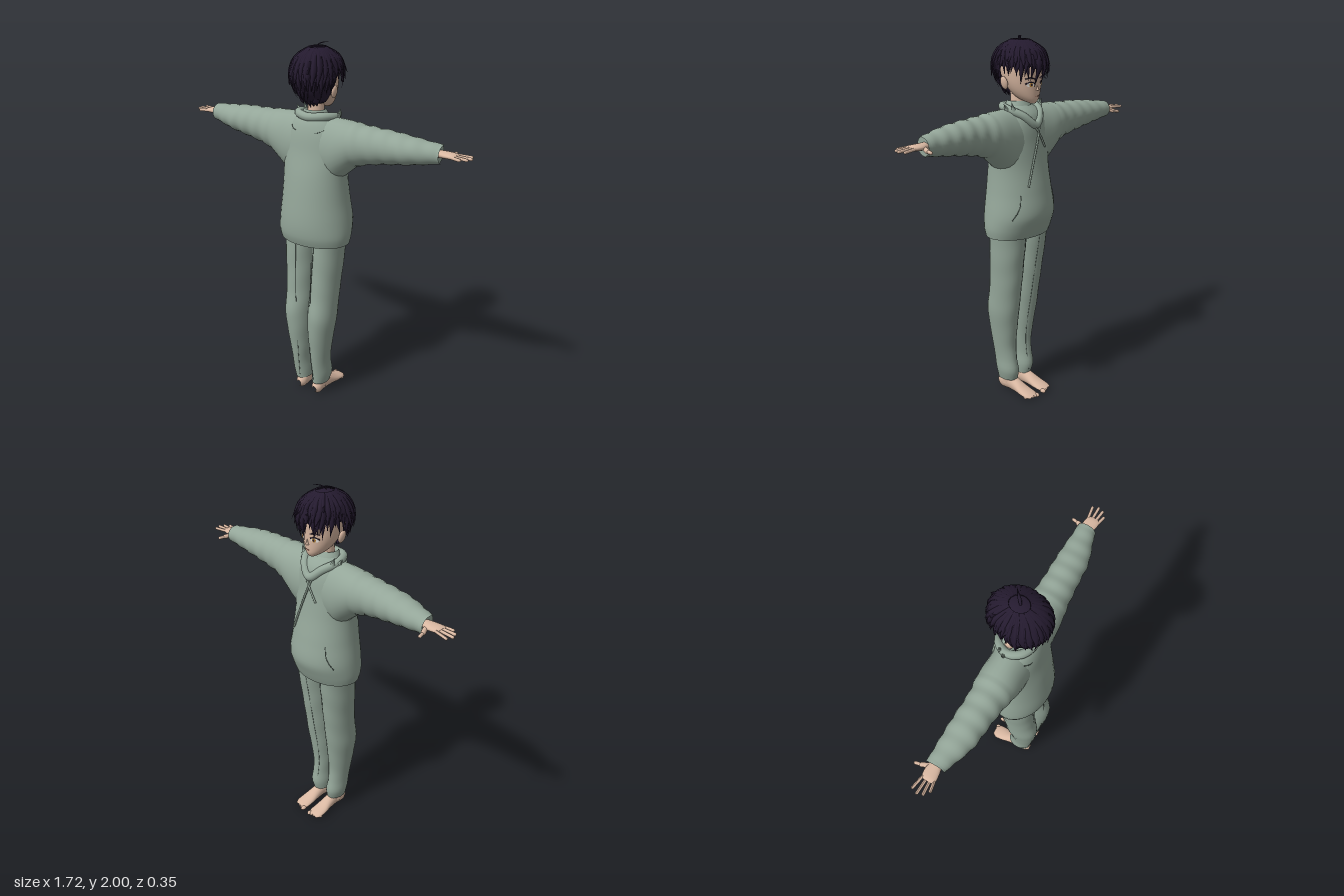
import * as THREE from 'three';

const mat = (name, color, side = THREE.FrontSide) => {
  const m = new THREE.MeshStandardMaterial({ color, side });
  m.name = name;
  return m;
};
const V = (x, y, z) => new THREE.Vector3(x, y, z);

// Smooth interpolation of a list of rings [t, cA, cB, rA, rB]
function ringAt(rings, t) {
  let i = 0;
  while (i < rings.length - 2 && t > rings[i + 1][0]) i++;
  const g = k => rings[Math.min(Math.max(k, 0), rings.length - 1)];
  const [p, a, b, n] = [g(i - 1), g(i), g(i + 1), g(i + 2)];
  const h = b[0] - a[0], u = Math.min(Math.max((t - a[0]) / h, 0), 1);
  return a.map((_, k) => {
    if (k === 0) return t;
    const ma = (b[k] - p[k]) / (b[0] - p[0]) * h, mb = (n[k] - a[k]) / (n[0] - a[0]) * h;
    const u2 = u * u, u3 = u2 * u;
    return (2 * u3 - 3 * u2 + 1) * a[k] + (u3 - 2 * u2 + u) * ma + (3 * u2 - 2 * u3) * b[k] + (u3 - u2) * mb;
  });
}

function build(pos, idx) {
  const g = new THREE.BufferGeometry();
  g.setAttribute('position', new THREE.Float32BufferAttribute(pos, 3));
  g.setIndex(idx);
  g.computeVertexNormals();
  return g;
}

// Elliptical cross-sections lofted along one axis, with capped ends
const place = {
  x: (t, A, B) => [t, B, A],
  y: (t, A, B) => [A, t, B],
  z: (t, A, B) => [B, A, t],
};
function loft(rings, axis, steps = 24, sides = 28, wrinkle = () => 1) {
  const pos = [], idx = [], t0 = rings[0][0], t1 = rings[rings.length - 1][0];
  const ring = s => {
    const [t, cA, cB, rA, rB] = ringAt(rings, t0 + (t1 - t0) * s / steps);
    for (let j = 0; j < sides; j++) {
      const a = j / sides * Math.PI * 2, w = wrinkle(t, a);
      pos.push(...place[axis](t, cA + rA * w * Math.cos(a), cB + rB * w * Math.sin(a)));
    }
    return [t, cA, cB];
  };
  for (let s = 0; s <= steps; s++) ring(s);
  for (let s = 0; s < steps; s++) for (let j = 0; j < sides; j++) {
    const a = s * sides + j, b = s * sides + (j + 1) % sides;
    idx.push(a, a + sides, b, b, a + sides, b + sides);
  }
  for (const s of [0, steps]) {
    const base = pos.length / 3, c = ring(s), mid = pos.length / 3;
    pos.push(...place[axis](...c));
    for (let j = 0; j < sides; j++) {
      const a = base + j, b = base + (j + 1) % sides;
      s ? idx.push(mid, a, b) : idx.push(mid, b, a);
    }
  }
  return build(pos, idx);
}

// Depth of a y-axis loft at (x, y); side -1 is the face side
function depth(rings, x, y, side) {
  const [, cx, cz, rx, rz] = ringAt(rings, y);
  return cz + side * rz * Math.sqrt(Math.max(0, 1 - ((x - cx) / rx) ** 2));
}

// Mirror a geometry across x
function flip(g) {
  const m = g.clone().scale(-1, 1, 1);
  const ix = m.index.array;
  for (let i = 0; i < ix.length; i += 3) [ix[i], ix[i + 1]] = [ix[i + 1], ix[i]];
  m.computeVertexNormals();
  return m;
}

const tube = (pts, r, n = 24, sides = 6, closed = false) =>
  new THREE.TubeGeometry(new THREE.CatmullRomCurve3(pts, closed), n, r, sides, closed);

// Flattened, pointed lock of hair along three points
const headMid = V(0, 1.83, -0.005);
function lock(points, width) {
  const curve = new THREE.CatmullRomCurve3(points), pos = [], idx = [], n = 8;
  for (let i = 0; i <= n; i++) {
    const t = i / n, p = curve.getPoint(t), out = p.clone().sub(headMid).normalize();
    const side = curve.getTangent(t).cross(out).normalize();
    const w = width * (0.45 + 0.55 * Math.sin(Math.PI * Math.min(t * 1.1, 1))) * (t < 0.55 ? 1 : Math.pow((1 - t) / 0.45, 0.7));
    for (const [a, b] of [[1, 0], [0, 0.4], [-1, 0], [0, -0.3]])
      pos.push(...p.clone().addScaledVector(side, a * w).addScaledVector(out, b * w).toArray());
  }
  for (let i = 0; i < n; i++) for (let j = 0; j < 4; j++) {
    const a = i * 4 + j, b = i * 4 + (j + 1) % 4;
    idx.push(a, b, a + 4, b, b + 4, a + 4);
  }
  return build(pos, idx);
}

const torso = [[0.955, 0, 0.012, 0.203, 0.143], [1.0, 0, 0.01, 0.21, 0.16], [1.08, 0, 0, 0.206, 0.175], [1.2, 0, 0.003, 0.19, 0.163],
  [1.33, 0, 0.007, 0.181, 0.143], [1.45, 0, 0.003, 0.185, 0.124], [1.55, 0, 0, 0.165, 0.112], [1.61, 0, 0, 0.125, 0.092], [1.645, 0, 0.005, 0.075, 0.06]];
const sleeve = [[0, 0, 1.467, 0.104, 0.167], [0.13, 0, 1.467, 0.107, 0.167], [0.2, 0, 1.493, 0.106, 0.138], [0.26, 0, 1.514, 0.098, 0.111],
  [0.34, 0, 1.524, 0.088, 0.096], [0.45, -0.004, 1.532, 0.083, 0.083], [0.55, -0.008, 1.535, 0.078, 0.07], [0.65, -0.022, 1.537, 0.06, 0.055], [0.705, -0.03, 1.538, 0.05, 0.047]];
const leg = [[0.075, 0.058, 0.036, 0.044, 0.062], [0.13, 0.063, 0.033, 0.052, 0.072], [0.2, 0.065, 0.045, 0.05, 0.07], [0.3, 0.067, 0.055, 0.058, 0.075],
  [0.5, 0.077, 0.052, 0.075, 0.097], [0.65, 0.079, 0.032, 0.077, 0.097], [0.8, 0.083, 0.018, 0.083, 0.102], [1.0, 0.088, 0.003, 0.09, 0.112]];
const face = [[1.66, 0, -0.09, 0.016, 0.014], [1.675, 0, -0.068, 0.04, 0.046], [1.7, 0, -0.048, 0.064, 0.07], [1.74, 0, -0.03, 0.086, 0.09],
  [1.79, 0, -0.016, 0.1, 0.106], [1.85, 0, -0.012, 0.104, 0.112], [1.91, 0, -0.01, 0.085, 0.09], [1.945, 0, -0.01, 0.04, 0.045]];

export function createModel() {
  const model = new THREE.Group();
  const cloth = mat('sage cloth', 0x94a699), seamMat = mat('dark seam', 0x55625a), skin = mat('skin', 0xd9b8a2);
  const hair = mat('dark hair', 0x251b30, THREE.DoubleSide), white = mat('eye white', 0xf0ebe6, THREE.DoubleSide);
  const gold = mat('gold iris', 0xb5843c, THREE.DoubleSide), lip = mat('lip', 0xa8705f);
  const add = (name, geo, m) => {
    const o = new THREE.Mesh(geo, m);
    o.name = name;
    model.add(o);
    return o;
  };
  const pair = (name, geo, m) => { add(name + 'Left', geo, m); add(name + 'Right', flip(geo), m); };
  const seam = (rings, pts, side, r = 0.0018) => tube(pts.map(([x, y]) => V(x, y, depth(rings, x, y, side))), r, 32, 4);

  // Hoodie body, hem and sleeves
  add('hoodieBody', loft(torso, 'y', 40, 40), cloth);
  pair('sleeve', loft(sleeve, 'x', 56, 28, (t, a) => 1 + (t > 0.25 && t < 0.69 ? 0.03 * Math.sin(t * 75 + 1.5 * Math.sin(a)) : 0)), cloth);
  pair('cuff', loft([[0.69, -0.03, 1.538, 0.052, 0.049], [0.712, -0.03, 1.538, 0.05, 0.047]], 'x', 2), cloth);

  // Folded hood around the neck
  add('hoodRim', tube([V(0, 1.635, 0.075), V(0.075, 1.64, 0.05), V(0.105, 1.632, -0.015), V(0.065, 1.6, -0.08), V(0, 1.55, -0.11),
    V(-0.065, 1.6, -0.08), V(-0.105, 1.632, -0.015), V(-0.075, 1.64, 0.05)], 0.022, 60, 10, true), cloth);
  add('collar', loft([[1.6, 0, 0.005, 0.09, 0.075], [1.64, 0, 0.01, 0.075, 0.062], [1.668, 0, 0.014, 0.058, 0.05]], 'y', 8), cloth);
  const fold = new THREE.ConeGeometry(0.016, 0.05, 5).rotateZ(-0.6).translate(0.13, 1.645, -0.02);
  pair('hoodFold', fold, cloth);
  pair('hoodFoldFront', new THREE.ConeGeometry(0.014, 0.045, 5).rotateZ(-0.3).translate(0.11, 1.65, -0.05), cloth);
  add('hoodBackSeam', seam(torso, [[-0.11, 1.6], [-0.1, 1.58], [-0.07, 1.566], [0.07, 1.566], [0.1, 1.58], [0.11, 1.6]], 1), seamMat);

  // Drawstrings and pocket openings
  const cord = pts => tube(pts.map(([x, y]) => V(x, y, depth(torso, x, y, -1) - 0.008)), 0.0055, 20, 6);
  add('longDrawstring', cord([[-0.035, 1.575], [0.0, 1.48], [0.05, 1.35], [0.09, 1.24]]), cloth);
  add('shortDrawstring', cord([[0.035, 1.575], [-0.01, 1.51], [-0.06, 1.43]]), cloth);
  pair('pocketOpening', seam(torso, [[0.125, 1.2], [0.14, 1.13], [0.17, 1.07]], -1, 0.003), seamMat);

  // Trousers with front and back seams
  pair('trouserLeg', loft(leg, 'y', 44, 26, (t, a) => 1 + 0.008 * Math.sin(t * 38 + Math.cos(a) * 2)), cloth);
  for (const s of [-1, 1])
    pair(s < 0 ? 'frontSeam' : 'backSeam', seam(leg, [[0.048, 0.1], [0.042, 0.3], [0.048, 0.6], [0.06, 0.95]], s), seamMat);

  // Bare feet
  pair('foot', loft([[-0.16, 0.013, 0.057, 0.009, 0.028], [-0.14, 0.016, 0.058, 0.014, 0.042], [-0.09, 0.025, 0.058, 0.023, 0.043], [-0.04, 0.038, 0.056, 0.036, 0.036],
    [0.02, 0.05, 0.055, 0.048, 0.031], [0.075, 0.044, 0.055, 0.042, 0.031], [0.102, 0.038, 0.055, 0.016, 0.014]], 'z', 24, 20), skin);
  pair('ankle', new THREE.CylinderGeometry(0.034, 0.034, 0.1, 18).translate(0.056, 0.09, 0.035), skin);
  for (let i = 0; i < 5; i++)
    pair('toe', new THREE.SphereGeometry(i ? 0.0095 : 0.013, 10, 8).scale(1, 0.9, 1.5).translate(0.028 + i * 0.0165, 0.012, -0.153 + i * i * 0.0016), skin);

  // Hands with spread fingers
  pair('palm', loft([[0.69, -0.03, 1.54, 0.026, 0.018], [0.73, -0.031, 1.541, 0.036, 0.016], [0.77, -0.027, 1.542, 0.036, 0.013], [0.785, -0.026, 1.542, 0.028, 0.008]], 'x', 12, 18), skin);
  const digit = (a, b, r) => {
    const d = b.clone().sub(a), g = new THREE.CapsuleGeometry(r, d.length(), 4, 8);
    g.applyQuaternion(new THREE.Quaternion().setFromUnitVectors(V(0, 1, 0), d.clone().normalize()));
    const c = a.clone().add(b).multiplyScalar(0.5);
    return g.translate(c.x, c.y, c.z);
  };
  [[-0.054, -0.067, 0.84], [-0.035, -0.037, 0.852], [-0.017, -0.01, 0.842], [0.001, 0.011, 0.815]].forEach(([z0, z1, tip]) =>
    pair('finger', digit(V(0.765, 1.542, z0), V(tip, 1.54, z1), 0.0078), skin));
  pair('thumb', digit(V(0.71, 1.536, -0.045), V(0.73, 1.53, -0.09), 0.012), skin);
  pair('thumbTip', digit(V(0.73, 1.53, -0.09), V(0.737, 1.528, -0.12), 0.0085), skin);

  // Head, neck, ears and nose
  add('head', loft(face, 'y', 32, 32), skin);
  add('neck', new THREE.CylinderGeometry(0.04, 0.046, 0.16, 20).translate(0, 1.66, 0.005), skin);
  pair('ear', new THREE.SphereGeometry(1, 14, 10).scale(0.012, 0.034, 0.022).rotateZ(-0.2).rotateX(0.15).translate(0.112, 1.765, 0.004), skin);
  add('nose', new THREE.ConeGeometry(0.01, 0.03, 8).scale(1, 1, 1.1).translate(0, 1.742, -0.12), skin);

  // Eyes, lashes and mouth laid on the face surface
  const plate = (x, y, rx, ry, lift) => {
    const g = new THREE.CircleGeometry(1, 20).scale(rx, ry, 1).translate(x, y, 0), p = g.attributes.position;
    for (let i = 0; i < p.count; i++) p.setZ(i, depth(face, p.getX(i), p.getY(i), -1) - lift);
    g.computeVertexNormals();
    return g;
  };
  pair('eyeWhite', plate(0.042, 1.757, 0.019, 0.011, 0.002), white);
  pair('iris', plate(0.041, 1.757, 0.009, 0.011, 0.004), gold);
  pair('pupil', plate(0.041, 1.757, 0.004, 0.006, 0.006), hair);
  pair('lash', seam(face, [[0.02, 1.763], [0.04, 1.77], [0.064, 1.762]], -1, 0.0035), hair);
  pair('brow', seam(face, [[0.018, 1.785], [0.042, 1.792], [0.066, 1.786]], -1, 0.003), hair);
  add('mouth', seam(face, [[-0.016, 1.699], [0, 1.697], [0.016, 1.699]], -1, 0.002), lip);

  // Hair base: crown cap and back of the head
  const shell = g => g.scale(0.122, 0.143, 0.146).translate(0, 1.83, -0.005);
  add('hairCrown', shell(new THREE.SphereGeometry(1, 36, 14, 0, Math.PI * 2, 0, Math.PI * 0.46)), hair);
  add('hairBack', shell(new THREE.SphereGeometry(1, 28, 20, 0.22, Math.PI - 0.44, 0, Math.PI * 0.86)), hair);

  // Hair locks: azimuth 0 is over the face
  const onHead = (az, y, k) => {
    const c = Math.min(Math.max((y - 1.83) / 0.15, -0.97), 0.99), s = Math.sqrt(1 - c * c) * k;
    return V(0.13 * s * Math.sin(az), y, -0.005 - 0.155 * s * Math.cos(az));
  };
  const rnd = i => { const s = Math.sin(i * 91.7 + 3.1) * 4375.5; return s - Math.floor(s); };
  const endY = a => a < 0.6 ? 1.785 : a < 1.1 ? 1.765 : a < 1.75 ? 1.79 : 1.7;
  for (let layer = 0; layer < 3; layer++) for (let i = 0; i < 28; i++) {
    const id = layer * 40 + i, az = ((i + layer / 3) / 28) * Math.PI * 2 - Math.PI + (rnd(id) - 0.5) * 0.1;
    const y = endY(Math.abs(az)) + [0, 0.035, 0.075][layer] + (rnd(id + 200) - 0.5) * 0.03;
    const k = 0.97 + layer * 0.02, bend = (rnd(id + 400) - 0.5) * 0.22;
    add('hairLock', lock([onHead(az * 0.98, 1.972, k), onHead(az, 1.93, k), onHead(az, (1.93 + y) / 2 + 0.01, k + 0.02),
      onHead(az + bend, y, k + 0.03 + 0.05 * layer * rnd(id + 600))], 0.021 + 0.004 * rnd(id + 800)), hair);
  }
  // Long fringe over one eye, nape tufts and the stray curl on top
  add('longFringe', lock([onHead(0.1, 1.95, 1), onHead(0.2, 1.87, 1.02), onHead(0.32, 1.745, 1)], 0.024), hair);
  add('middleFringe', lock([onHead(0, 1.95, 1), onHead(-0.05, 1.86, 1.02), onHead(-0.02, 1.75, 1)], 0.018), hair);
  for (let i = -2; i <= 2; i++)
    add('napeTuft', lock([V(i * 0.025, 1.76, 0.09), V(i * 0.022, 1.715, 0.068), V(i * 0.02, 1.678 + Math.abs(i) * 0.006, 0.05)], 0.02), hair);
  add('strayCurl', lock([V(-0.005, 1.965, 0.005), V(0.005, 1.985, -0.005), V(0.025, 1.995, -0.025), V(0.06, 1.994, -0.055)], 0.008), hair);

  return model;
}
